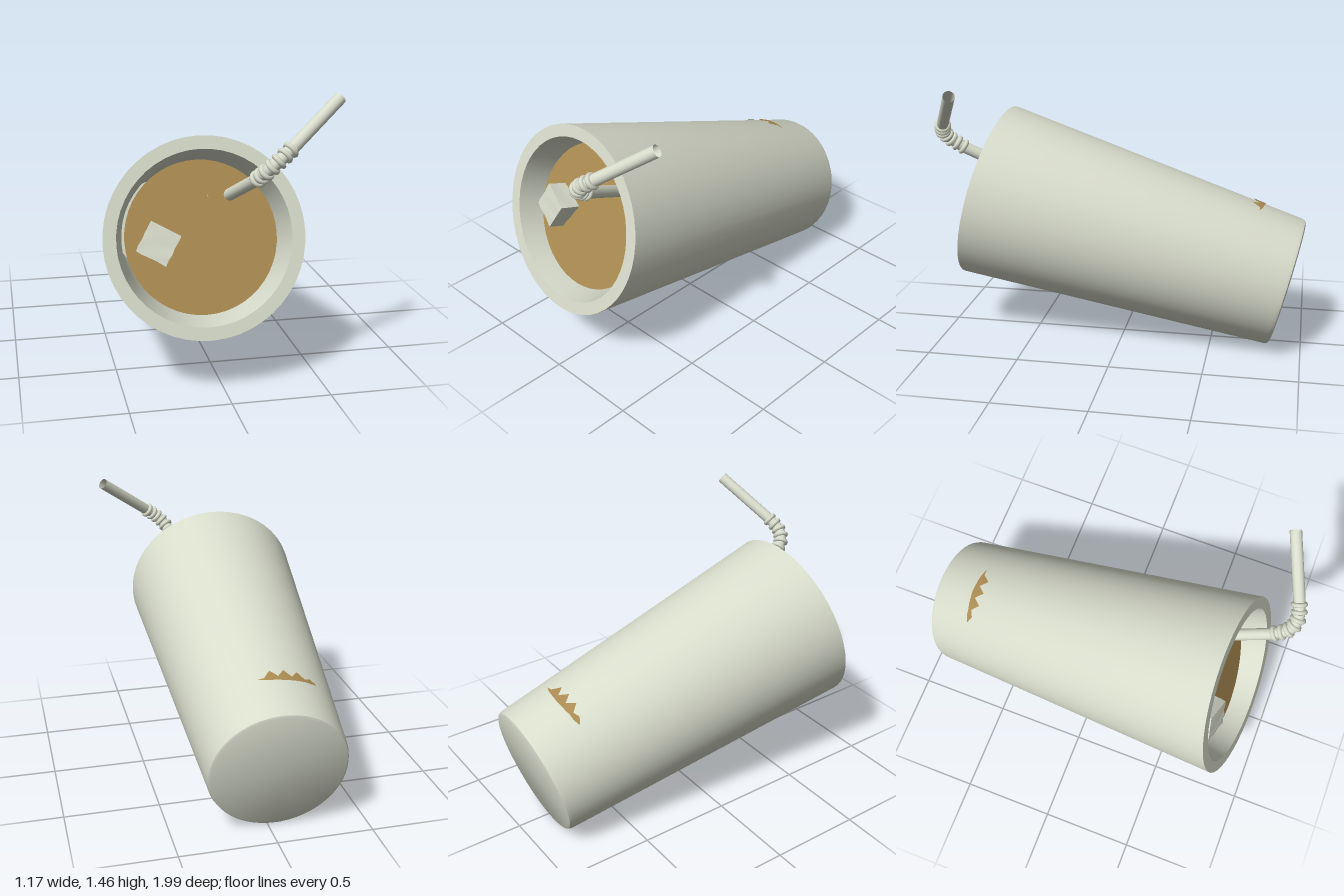
import * as THREE from 'three';
import { toCreasedNormals, mergeVertices } from 'three/addons/utils/BufferGeometryUtils.js';

const V = (x, y, z) => new THREE.Vector3(x, y, z);
const UP = V(0, 1, 0);

export function createModel() {
  const group = new THREE.Group();
  const white = new THREE.MeshStandardMaterial({ color: 0xd8dccb, side: THREE.DoubleSide });
  white.name = 'paleWhite';
  const brown = new THREE.MeshStandardMaterial({ color: 0xab8b52, side: THREE.DoubleSide });
  brown.name = 'drinkBrown';

  const add = (name, geometry, material, parent = group) => {
    const mesh = new THREE.Mesh(geometry, material);
    mesh.name = name;
    parent.add(mesh);
    return mesh;
  };

  // Cup, lying over with its mouth forward and slightly up
  const base = V(-0.03, 0.35, -0.91), mouth = V(-0.09, 0.785, 0.79);
  const axis = mouth.clone().sub(base);
  const length = axis.length();
  const cup = new THREE.Group();
  cup.name = 'cup';
  cup.position.copy(base);
  cup.quaternion.setFromUnitVectors(UP, axis.normalize());
  group.add(cup);
  const profile = [
    [0, 0], [0.342, 0], [0.354, 0.006], [0.361, 0.025],
    [0.495, length], [0.43, length], [0.388, length - 0.2],
    [0.3, 0.08], [0, 0.08],
  ].map(([r, y]) => new THREE.Vector2(r, y));
  add('cupWall', toCreasedNormals(new THREE.LatheGeometry(profile, 48), 0.7), white, cup);

  // Jagged drink mark on the upper side of the cup, near its base
  const lower = [0.26, 0.25, 0.25, 0.245, 0.243, 0.24, 0.243, 0.245, 0.25, 0.26];
  const upper = [0.262, 0.285, 0.27, 0.312, 0.27, 0.314, 0.27, 0.312, 0.265, 0.262];
  const pos = [], index = [];
  lower.forEach((low, i) => {
    const a = -0.6 + (0.84 * i) / 9;
    for (const s of [low, upper[i]]) {
      const r = 0.365 + 0.077 * s;
      pos.push(r * Math.sin(a), s, -r * Math.cos(a));
    }
    if (i) index.push(2 * i - 2, 2 * i - 1, 2 * i, 2 * i, 2 * i - 1, 2 * i + 1);
  });
  const mark = new THREE.BufferGeometry();
  mark.setAttribute('position', new THREE.Float32BufferAttribute(pos, 3));
  mark.setIndex(index);
  mark.computeVertexNormals();
  add('drinkMark', mark, brown, cup);

  // Drink surface, tilted a little more than the mouth
  const drink = add('drink', new THREE.CylinderGeometry(0.385, 0.375, 0.04, 48), brown);
  drink.position.set(-0.08, 0.743, 0.632);
  drink.quaternion.setFromUnitVectors(UP, V(0, 0.34, 0.94).normalize());

  // Ice cubes with slightly dented surfaces
  const iceGeometry = (size) => {
    let g = new THREE.BoxGeometry(size, size, size, 5, 5, 5);
    g.deleteAttribute('normal');
    g.deleteAttribute('uv');
    g = mergeVertices(g, 1e-4);
    const p = g.attributes.position;
    for (let i = 0; i < p.count; i++) {
      const k = 1 + 0.025 * Math.sin(i * 12.9898) - 0.01;
      p.setXYZ(i, p.getX(i) * k, p.getY(i) * k, p.getZ(i) * k);
    }
    return toCreasedNormals(g, 0.6);
  };
  const addIce = (name, size, center, normal, edge) => {
    const ice = add(name, iceGeometry(size), white);
    const n = normal.normalize();
    const x = edge.addScaledVector(n, -edge.dot(n)).normalize();
    ice.quaternion.setFromRotationMatrix(new THREE.Matrix4().makeBasis(x, n.clone().cross(x), n));
    ice.position.copy(center);
  };
  addIce('iceCube', 0.165, V(-0.3, 0.735, 0.668), V(-0.14, 0.26, 0.95), V(0.13, -0.075, 0));
  addIce('sunkenIceCube', 0.165, V(0.02, 0.965, 0.47), V(0.1, 0.45, 0.88), V(1, 0.3, 0));

  // Bendy straw: two straight tubes joined by a curved, ribbed neck
  const straw = new THREE.Group();
  straw.name = 'straw';
  group.add(straw);
  const B = V(0.14, 1.08, 0.86), E = V(0.29, 1.24, 0.93);
  const tube = (name, curve, steps) =>
    add(name, new THREE.TubeGeometry(curve, steps, 0.031, 16, false), white, straw);
  tube('strawLower', new THREE.LineCurve3(V(0.06, 0.9, 0.5), B), 1);
  tube('strawUpper', new THREE.LineCurve3(E, V(0.563, 1.443, 0.788)), 1);
  const neck = new THREE.CatmullRomCurve3([B, V(0.172, 1.137, 0.932), V(0.22, 1.187, 0.953), E]);
  tube('strawNeck', neck, 20);
  for (let i = 0; i < 7; i++) {
    const t = (i + 0.3) / 6.6;
    const rib = add('strawRib', new THREE.TorusGeometry(0.031, 0.013, 8, 20), white, straw);
    rib.position.copy(neck.getPointAt(t));
    rib.quaternion.setFromUnitVectors(V(0, 0, 1), neck.getTangentAt(t));
  }

  return group;
}
